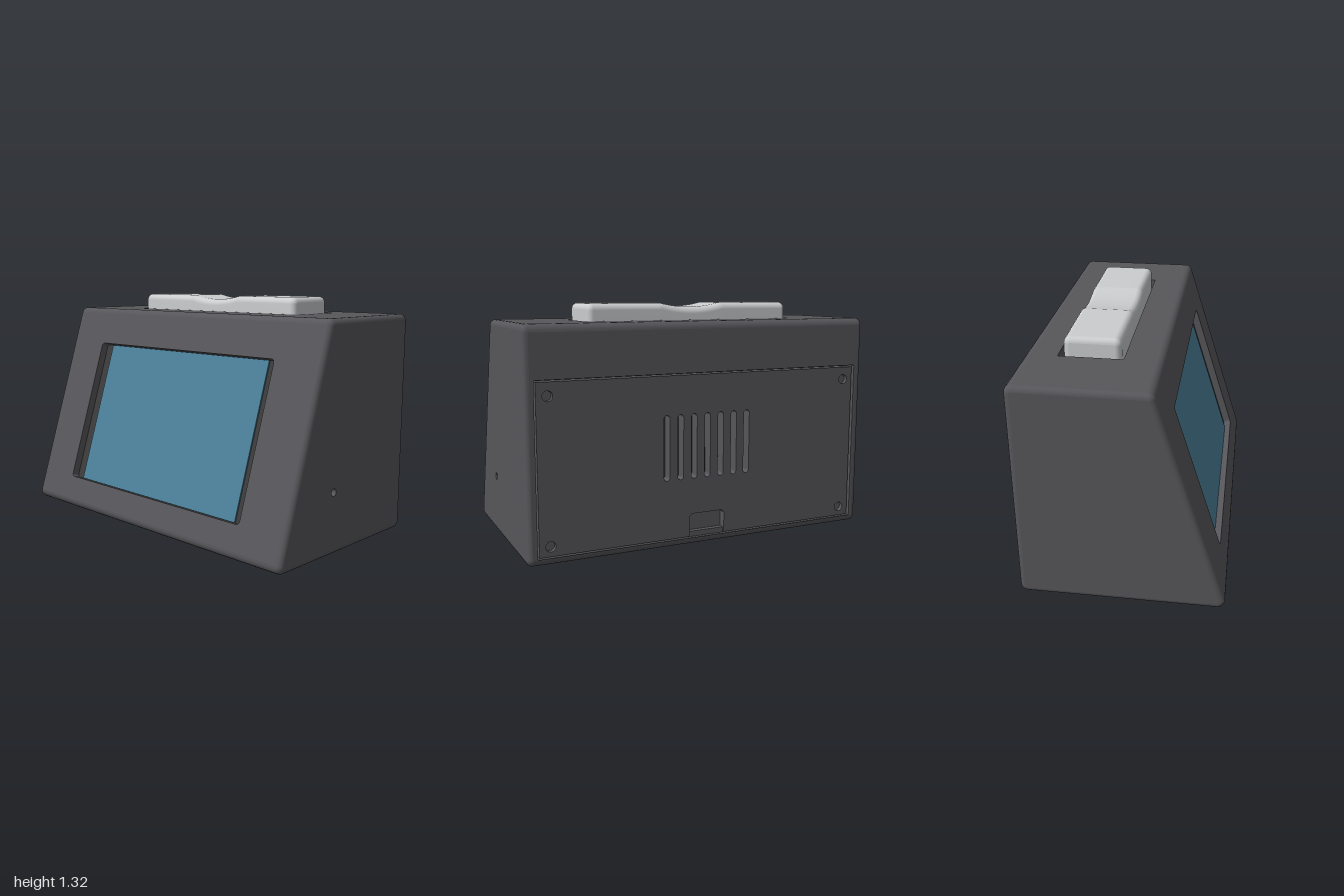
import * as THREE from 'three';

const K = 5; // segments per rounded corner
const V = (x, y, z) => new THREE.Vector3(x, y, z);
const paint = (name, color) => Object.assign(new THREE.MeshStandardMaterial({ color }), { name });

// Convex outline (counter-clockwise corners) with corners rounded by R, shrunk by o
function outline(corners, R, o = 0) {
  const P = corners.map(([x, y]) => new THREE.Vector2(x, y)), n = P.length, pts = [];
  const normal = (a, b) => new THREE.Vector2(b.y - a.y, a.x - b.x).normalize();
  P.forEach((p, i) => {
    const n1 = normal(P[(i + n - 1) % n], p), n2 = normal(p, P[(i + 1) % n]);
    const c = p.clone().addScaledVector(n1.clone().add(n2), -R / (1 + n1.dot(n2)));
    const a0 = n1.angle();
    const turn = (n2.angle() - a0 + 2 * Math.PI) % (2 * Math.PI);
    for (let k = 0; k <= K; k++) {
      const a = a0 + (turn * k) / K;
      pts.push(new THREE.Vector2(c.x + (R - o) * Math.cos(a), c.y + (R - o) * Math.sin(a)));
    }
  });
  return pts;
}
const rect = (x0, y0, x1, y1, R) => outline([[x0, y0], [x1, y0], [x1, y1], [x0, y1]], R);
const disc = (x, y, r) => rect(x - r, y - r, x + r, y + r, r * 0.999);

// Skin through rings of (-z, y) points placed along x
function loft(xs, rings, skip = () => false) {
  const n = rings[0].length, pos = [], idx = [];
  rings.forEach((ring, i) => ring.forEach((p) => pos.push(xs[i], p.y, -p.x)));
  for (let i = 0; i < xs.length - 1; i++) {
    for (let j = 0; j < n; j++) {
      if (skip(i, j)) continue;
      const a = i * n + j, b = i * n + ((j + 1) % n);
      idx.push(a, b, b + n, a, b + n, a + n);
    }
  }
  const g = new THREE.BufferGeometry();
  g.setAttribute('position', new THREE.Float32BufferAttribute(pos, 3));
  g.setIndex(idx);
  g.computeVertexNormals();
  return g;
}

// Inward-facing walls of a recess below z = 0
function recessWalls(pts, depth) {
  const pos = [];
  pts.forEach((p, i) => {
    const q = pts[(i + 1) % pts.length];
    pos.push(p.x, p.y, 0, q.x, q.y, 0, q.x, q.y, -depth);
    pos.push(p.x, p.y, 0, q.x, q.y, -depth, p.x, p.y, -depth);
  });
  const g = new THREE.BufferGeometry();
  g.setAttribute('position', new THREE.Float32BufferAttribute(pos, 3));
  g.computeVertexNormals();
  return g;
}

function shapeOf(pts, holes = []) {
  const s = new THREE.Shape(pts);
  holes.forEach((h) => s.holes.push(new THREE.Path(h)));
  return s;
}

export function createModel() {
  const model = new THREE.Group();
  model.name = 'deskDevice';
  const body = paint('charcoal', 0x57575b), dark = paint('dark interior', 0x3a3a3a);
  const blue = paint('screen blue', 0x4b8099), white = paint('light grey', 0xcbcdce);
  const rubber = paint('black rubber', 0x2b2b2d);

  const add = (parent, name, geo, mat, x = 0, y = 0, z = 0) => {
    const m = new THREE.Mesh(geo, mat);
    m.name = name;
    m.position.set(x, y, z);
    parent.add(m);
    return m;
  };
  // Local plane on one side of the housing: X across, T up, outward = X x T
  const frame = (name, origin, X, T) => {
    const g = new THREE.Group();
    g.name = name;
    g.position.copy(origin);
    g.quaternion.setFromRotationMatrix(new THREE.Matrix4().makeBasis(X, T, X.clone().cross(T)));
    model.add(g);
    return g;
  };
  const recess = (parent, name, pts, depth, floorMat) => {
    add(parent, name + 'Walls', recessWalls(pts, depth), body);
    add(parent, name + 'Floor', new THREE.ShapeGeometry(shapeOf(pts)), floorMat, 0, 0, -depth);
  };

  // Housing: rounded wedge, left open where faces with recesses go
  const corners = [[-0.552, 0.018], [0.54, 0.018], [0.54, 1.225], [-0.165, 1.225]];
  const R = 0.04, r = 0.03, ring = (o) => outline(corners, R, o);
  const xs = [], rings = [];
  for (const side of [-1, 1]) {
    for (let k = 0; k <= K; k++) {
      const a = ((side < 0 ? k : K - k) / K) * Math.PI / 2;
      xs.push(side * (1 - r + r * Math.cos(a)));
      rings.push(ring(r * (1 - Math.sin(a))));
    }
  }
  const flat = (j) => j % (K + 1) === K && j > K;
  add(model, 'housingShell', loft(xs, rings, (i, j) => i === K && flat(j)), body);

  // Flat housing face spanning the profile edge that follows a corner
  const full = ring(0);
  const face = (f, name, corner, origin, T, hole) => {
    const j = corner * (K + 1) + K;
    const t = [full[j], full[(j + 1) % full.length]]
      .map((p) => V(0, p.y, -p.x).sub(origin).dot(T)).sort((a, b) => a - b);
    const w = 1 - r;
    const pts = [[-w, t[0]], [w, t[0]], [w, t[1]], [-w, t[1]]].map(([x, y]) => new THREE.Vector2(x, y));
    add(f, name, new THREE.ShapeGeometry(shapeOf(pts, [hole])), body);
  };

  // Sloped front with the screen set into it
  const fo = V(0, 0.018, 0.552), fT = V(0, 1.207, -0.387).normalize();
  const front = frame('front', fo, V(1, 0, 0), fT);
  const windowHole = rect(-0.7, 0.19, 0.7, 1.045, 0.02);
  face(front, 'frontFace', 3, fo, fT, windowHole);
  recess(front, 'screenRecess', windowHole, 0.045, dark);
  add(front, 'screen', new THREE.BoxGeometry(1.275, 0.851, 0.008), blue, 0, 0.6175, -0.041);

  // Top with the button well
  const to = V(0, 1.225, 0), tT = V(0, 0, -1);
  const top = frame('top', to, V(1, 0, 0), tT);
  const well = rect(-0.625, 0.03, 0.625, 0.365, 0.005);
  face(top, 'topFace', 2, to, tT, well);
  recess(top, 'buttonWell', well, 0.09, body);

  // Back with the service panel
  const bo = V(0, 0, -0.54), bT = V(0, 1, 0);
  const back = frame('back', bo, V(-1, 0, 0), bT);
  const bay = rect(-0.95, 0.055, 0.95, 0.955, 0.008);
  face(back, 'backFace', 1, bo, bT, bay);
  recess(back, 'panelBay', bay, 0.075, dark);
  const slots = Array.from({ length: 7 }, (_, i) => (i - 3) * 0.08)
    .map((x) => rect(x - 0.017, 0.385, x + 0.017, 0.737, 0.0165));
  const screwSpots = [[-0.88, 0.115], [0.88, 0.115], [-0.88, 0.875], [0.88, 0.875]];
  const panelPts = [[-0.94, 0.063], [-0.105, 0.063], [-0.105, 0.175], [-0.09, 0.19], [0.09, 0.19],
    [0.105, 0.175], [0.105, 0.063], [0.94, 0.063], [0.94, 0.945], [-0.94, 0.945]]
    .map(([x, y]) => new THREE.Vector2(x, y));
  const panelShape = shapeOf(panelPts, [...slots, ...screwSpots.map(([x, y]) => disc(x, y, 0.027))]);
  add(back, 'backPanel', new THREE.ExtrudeGeometry(panelShape, { depth: 0.062, bevelEnabled: false }),
    body, 0, 0, -0.07);
  screwSpots.forEach(([x, y]) => {
    add(back, 'screw', new THREE.CylinderGeometry(0.026, 0.026, 0.03, 16), body, x, y, -0.045)
      .rotation.x = Math.PI / 2;
  });
  add(back, 'portPlate', new THREE.BoxGeometry(0.21, 0.13, 0.02), body, 0, 0.125, -0.06);
  add(back, 'portLip', new THREE.BoxGeometry(0.21, 0.03, 0.04), body, 0, 0.073, -0.04);

  // Sides, one with a small pin hole
  const cap = ring(r), pin = disc(-0.112, 0.35, 0.02);
  const left = frame('leftSide', V(1, 0, 0), V(0, 0, -1), V(0, 1, 0));
  add(left, 'leftFace', new THREE.ShapeGeometry(shapeOf(cap, [pin])), body);
  recess(left, 'pinHole', pin, 0.04, body);
  const right = frame('rightSide', V(-1, 0, 0), V(0, 0, 1), V(0, 1, 0));
  add(right, 'rightFace',
    new THREE.ShapeGeometry(shapeOf(cap.map((p) => new THREE.Vector2(-p.x, p.y)).reverse())), body);

  // Button bar with a shallow finger dip in the middle
  const bar = (o, drop = 0) => outline(
    [[0.046, 1.12], [0.342, 1.12], [0.342, 1.316 - drop], [0.046, 1.316 - drop]], 0.036, o);
  const stations = [];
  for (let k = 0; k <= K; k++) {
    const a = (k / K) * Math.PI / 2;
    stations.push([-0.57 - 0.03 * Math.cos(a), bar(0.03 * (1 - Math.sin(a)))]);
  }
  stations.push([-0.195, bar(0)]);
  for (let k = 0; k <= 16; k++) {
    const s = k / 8 - 1;
    stations.push([s * 0.18, bar(0, 0.022 * (1 - s * s))]);
  }
  for (let k = K + 1; k >= 0; k--) stations.push([-stations[k][0], stations[k][1]]);
  add(model, 'buttonBar', loft(stations.map((s) => s[0]), stations.map((s) => s[1])), white);
  const end = new THREE.ShapeGeometry(shapeOf(bar(0.03)));
  add(model, 'buttonEnd', end, white, 0.6).rotation.y = Math.PI / 2;
  const farEnd = new THREE.ShapeGeometry(
    shapeOf(bar(0.03).map((p) => new THREE.Vector2(-p.x, p.y)).reverse()));
  add(model, 'buttonEnd', farEnd, white, -0.6).rotation.y = -Math.PI / 2;

  // Feet
  for (const x of [-0.785, 0.785]) {
    for (const z of [0.37, -0.36]) {
      add(model, 'foot', new THREE.CylinderGeometry(0.075, 0.075, 0.022, 32), rubber, x, 0.011, z);
    }
  }
  return model;
}
